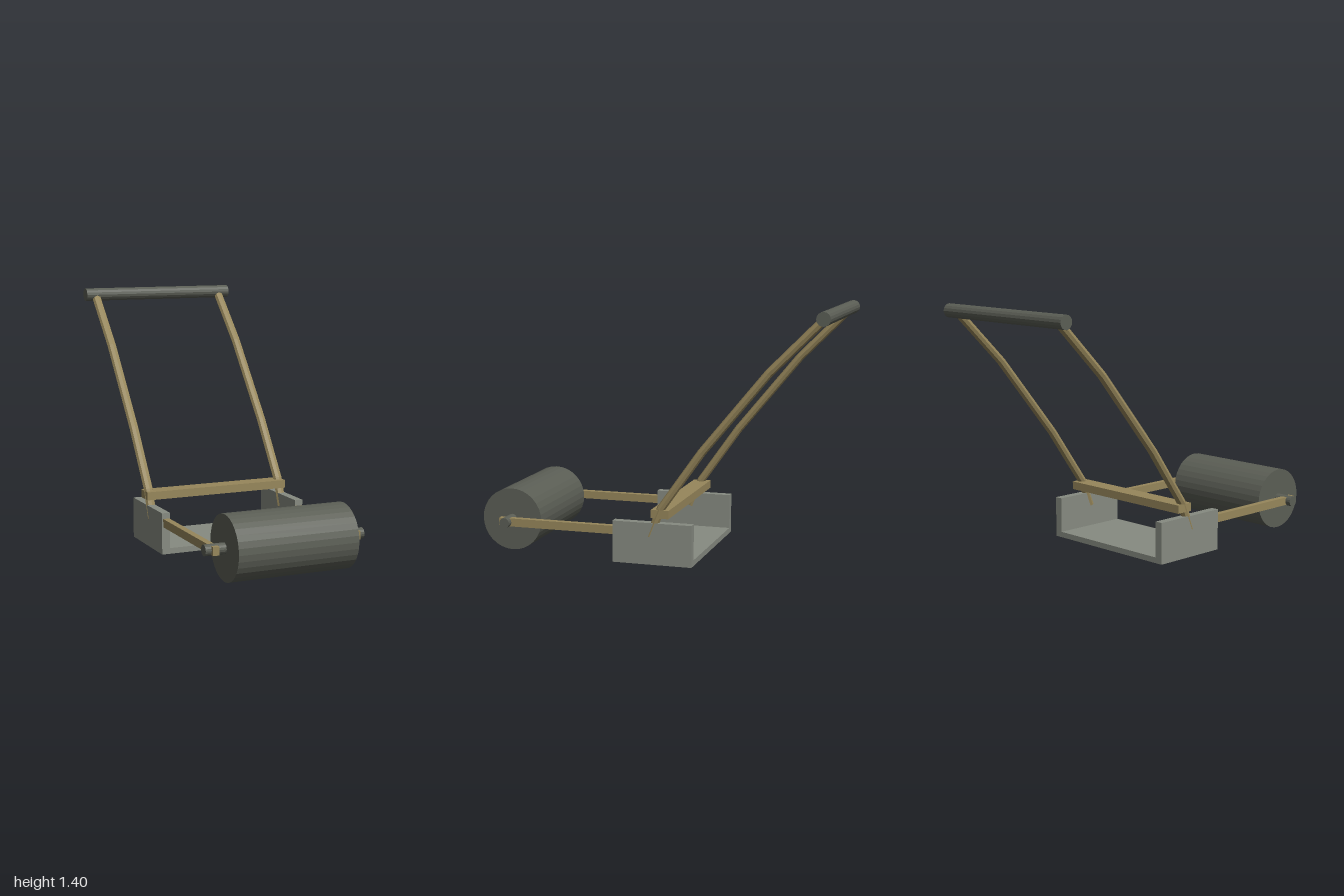
import * as THREE from 'three';

const material = (name, color) => {
  const m = new THREE.MeshStandardMaterial({ color, flatShading: true });
  m.name = name;
  return m;
};

// Rod loft: an octagon swept along [y, z] points, capped at both ends
function rodGeometry(path, rx, ry, sides = 8) {
  const points = path.map(([y, z]) => new THREE.Vector3(0, y, z));
  const positions = [], index = [];
  points.forEach((p, i) => {
    const before = points[Math.max(i - 1, 0)];
    const after = points[Math.min(i + 1, points.length - 1)];
    const t = after.clone().sub(before).normalize();
    for (let s = 0; s < sides; s++) {
      const a = (s / sides) * Math.PI * 2;
      const across = Math.sin(a) * ry;
      positions.push(Math.cos(a) * rx, p.y - t.z * across, p.z + t.y * across);
    }
  });
  for (let i = 0; i < points.length - 1; i++) {
    for (let s = 0; s < sides; s++) {
      const a = i * sides + s, b = i * sides + ((s + 1) % sides);
      index.push(a, a + sides, b, b, a + sides, b + sides);
    }
  }
  const last = (points.length - 1) * sides;
  for (let s = 1; s < sides - 1; s++) {
    index.push(0, s, s + 1, last, last + s + 1, last + s);
  }
  const g = new THREE.BufferGeometry();
  g.setAttribute('position', new THREE.Float32BufferAttribute(positions, 3));
  g.setIndex(index);
  g.computeVertexNormals();
  return g;
}

export function createModel() {
  const model = new THREE.Group();
  model.name = 'rollerCart';
  const iron = material('dark iron', 0x5b5e55);
  const wood = material('tan wood', 0x97875b);
  const steel = material('grey steel', 0x878b81);
  wood.side = THREE.DoubleSide;

  const add = (name, geometry, mat, x, y, z) => {
    const mesh = new THREE.Mesh(geometry, mat);
    mesh.name = name;
    mesh.position.set(x, y, z);
    model.add(mesh);
    return mesh;
  };
  const barrel = (name, radius, length, sides, y, z) => {
    const g = new THREE.CylinderGeometry(radius, radius, length, sides);
    g.rotateZ(Math.PI / 2);
    return add(name, g, iron, 0, y, z);
  };

  // Roller, axle and grip
  barrel('roller', 0.177, 0.685, 32, 0.177, 0.823);
  barrel('axle', 0.03, 0.916, 16, 0.177, 0.823);
  barrel('grip', 0.038, 0.944, 16, 1.362, -0.962);

  // Open-ended tray: a U-shaped channel
  const channel = new THREE.Shape([
    [-0.432, 0], [0.432, 0], [0.432, 0.232], [0.386, 0.232],
    [0.386, 0.032], [-0.386, 0.032], [-0.386, 0.232], [-0.432, 0.232],
  ].map(([x, y]) => new THREE.Vector2(x, y)));
  add('tray', new THREE.ExtrudeGeometry(channel, { depth: 0.45, bevelEnabled: false }),
    steel, 0, 0, -0.26);

  // Cross beam between the handle rods
  add('crossBeam', new THREE.BoxGeometry(0.862, 0.046, 0.1), wood, 0, 0.283, -0.08);

  // Side arms to the axle and bent handle rods
  const rod = rodGeometry(
    [[0.155, -0.018], [0.31, -0.08], [0.63, -0.307], [1.07, -0.67], [1.362, -0.962]],
    0.027, 0.023);
  for (const [side, x] of [['left', 0.407], ['right', -0.407]]) {
    add(side + 'Arm', new THREE.BoxGeometry(0.036, 0.046, 0.715), wood, x, 0.177, 0.51);
    add(side + 'HandleRod', rod, wood, x, 0, 0);
  }
  return model;
}
